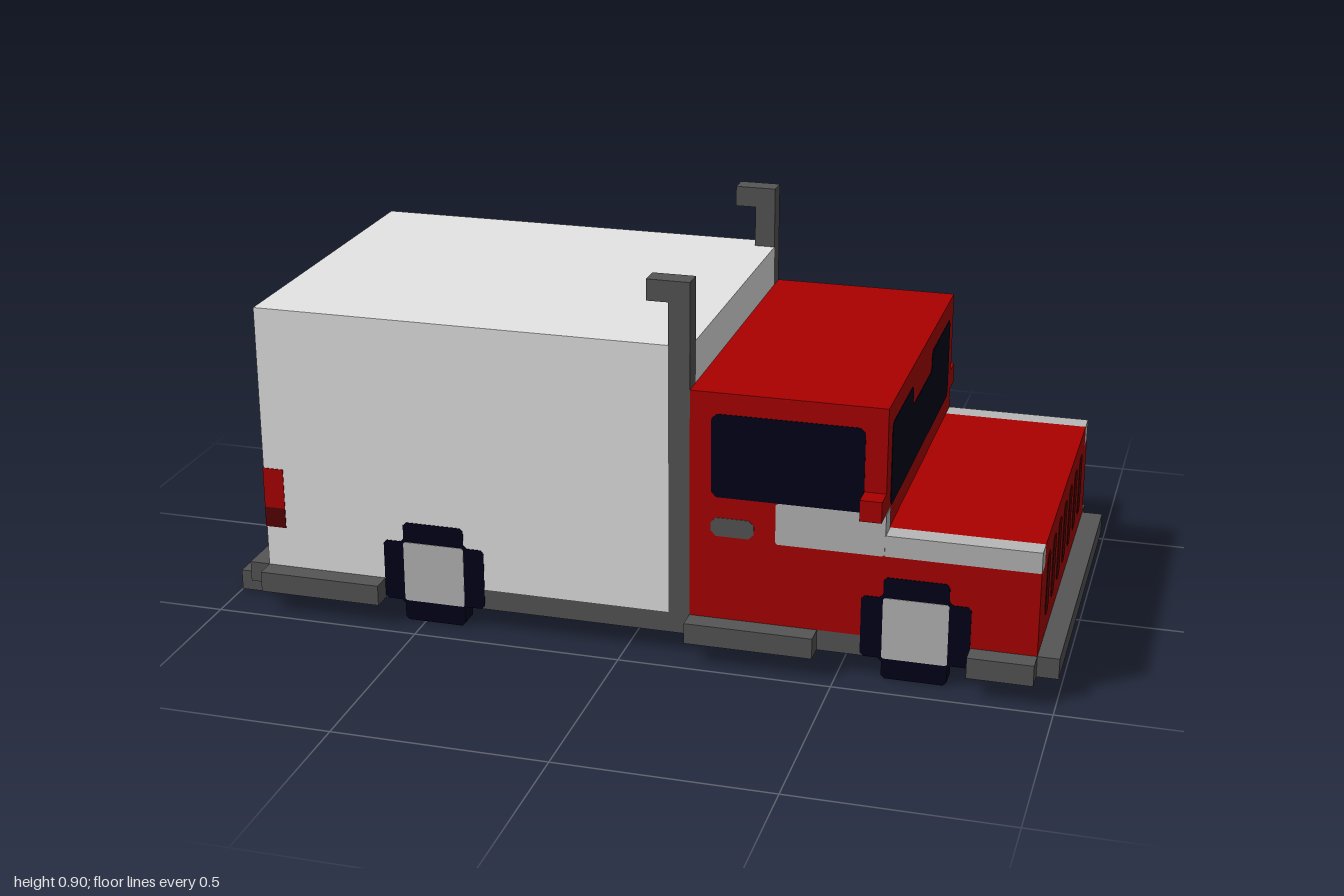
import * as THREE from 'three';

const mat = (name, color) => Object.assign(new THREE.MeshStandardMaterial({ color }), { name });
const RED = mat('red paint', 0xaa0000);
const DARK_RED = mat('dark red', 0x560000);
const CARGO = mat('light grey', 0xe5e5e5);
const SILVER = mat('silver', 0xb8b8b8);
const GREY = mat('dark grey', 0x555555);
const NAVY = mat('navy black', 0x00001a);

const W = 0.425; // half width of the body

export function createModel() {
  const model = new THREE.Group();
  model.name = 'truck';

  const add = (name, geometry, material) => {
    const mesh = new THREE.Mesh(geometry, material);
    mesh.name = name;
    model.add(mesh);
    return mesh;
  };

  // box given by its limits on each axis
  const box = (name, material, x0, x1, y0, y1, z0, z1) => {
    const g = new THREE.BoxGeometry(x1 - x0, y1 - y0, z1 - z0);
    g.translate((x0 + x1) / 2, (y0 + y1) / 2, (z0 + z1) / 2);
    return add(name, g, material);
  };
  const boxPair = (name, material, x0, x1, y0, y1, z0, z1) => {
    box(name + 'Left', material, x0, x1, y0, y1, z0, z1);
    box(name + 'Right', material, x0, x1, y0, y1, -z1, -z0);
  };

  // flat outline with small cut corners, extruded around its own plane
  const outline = (points, cut, depth) => {
    const out = [];
    points.forEach((p, i) => {
      const here = new THREE.Vector2(...p);
      for (const k of [points.length - 1, 1]) {
        const other = new THREE.Vector2(...points[(i + k) % points.length]);
        out.push(here.clone().add(other.sub(here).setLength(cut)));
      }
    });
    return new THREE.ExtrudeGeometry(new THREE.Shape(out), { depth, bevelEnabled: false })
      .translate(0, 0, -depth / 2);
  };
  const rect = (x0, x1, y0, y1) => [[x0, y0], [x1, y0], [x1, y1], [x0, y1]];

  // plates on both flanks, and on a face across x
  const sidePlates = (name, material, points, cut = 0.012, depth = 0.003, z = W) => {
    for (const s of [1, -1]) {
      add(name, outline(points, cut, depth), material).position.z = s * z;
    }
  };
  const endPlate = (name, material, x, points, cut = 0.012) =>
    add(name, outline(points, cut, 0.003).rotateY(Math.PI / 2), material).position.x = x;

  // chassis, running boards and tail pipe
  box('chassis', GREY, -0.95, 1, 0.05, 0.1, -W, W);
  boxPair('rearStep', GREY, -0.9, -0.6, 0.05, 0.1, W, 0.475);
  boxPair('cabStep', GREY, 0.15, 0.45, 0.05, 0.1, W, 0.475);
  box('frontStepLeft', GREY, 0.8, 0.95, 0.05, 0.1, W, 0.475);
  box('frontStepRight', GREY, 0.85, 0.95, 0.05, 0.1, -0.475, -W);
  box('tailPipe', GREY, -1, -0.8, 0, 0.05, 0.325, 0.375);

  // cargo box, notched at the front corners for the stacks
  box('cargoBox', CARGO, -0.9, 0.1, 0.1, 0.75, -W, W);
  box('cargoFront', CARGO, 0.1, 0.15, 0.1, 0.75, -0.375, 0.375);
  boxPair('exhaustStack', GREY, 0.1, 0.15, 0.1, 0.9, 0.375, W);
  boxPair('exhaustElbow', GREY, 0.05, 0.1, 0.85, 0.9, 0.375, W);

  // rear door seam and handle
  endPlate('doorSeam', GREY, -0.9, rect(-0.025, 0.025, 0.15, 0.7));
  endPlate('doorHandle', GREY, -0.9, rect(0.02, 0.075, 0.39, 0.45), 0.018);

  // tail lights wrapping the rear corners
  boxPair('tailLight', RED, -0.9015, -0.85, 0.25, 0.35, 0.375, W + 0.0015);
  boxPair('tailLightLower', DARK_RED, -0.9015, -0.85, 0.2, 0.25, 0.375, W + 0.0015);

  // cab and hood
  box('cab', RED, 0.15, 0.6, 0.1, 0.65, -W, W);
  box('hood', RED, 0.6, 0.95, 0.1, 0.3, -W, W);
  box('hoodTop', RED, 0.6, 0.95, 0.3, 0.35, -0.375, 0.375);
  boxPair('hoodTrim', SILVER, 0.6, 0.95, 0.3, 0.35, 0.375, W);
  boxPair('mirror', RED, 0.55, 0.6, 0.4, 0.45, W, 0.475);
  sidePlates('doorTrim', SILVER, rect(0.35, 0.6, 0.3, 0.4), 0.005);
  box('trimCorner', SILVER, 0.59, 0.6015, 0.35, 0.4, 0.375, W + 0.0015);

  // windows, door handles and grille
  sidePlates('sideWindow', NAVY, rect(0.2, 0.55, 0.4, 0.6));
  sidePlates('cabDoorHandle', GREY, rect(0.2, 0.3, 0.305, 0.35));
  endPlate('windscreen', NAVY, 0.6, [
    [-0.375, 0.4], [0.375, 0.4], [0.375, 0.6], [0.125, 0.6],
    [0.125, 0.55], [-0.125, 0.55], [-0.125, 0.6], [-0.375, 0.6]]);
  for (let i = -3; i <= 3; i++) {
    endPlate('grilleSlot', DARK_RED, 0.95, rect(i * 0.1 - 0.025, i * 0.1 + 0.025, 0.15, 0.3));
  }

  // cross-shaped wheels set flush in the body
  for (const x of [-0.475, 0.675]) {
    const a = 0.075, b = 0.125, y = 0.125;
    const cross = [
      [-a, -b], [a, -b], [a, -a], [b, -a], [b, a], [a, a],
      [a, b], [-a, b], [-a, a], [-b, a], [-b, -a], [-a, -a],
    ].map(([u, v]) => [x + u, y + v]);
    sidePlates('tyre', NAVY, cross, 0.008, 0.0515, 0.40075);
    sidePlates('hub', SILVER, rect(x - a, x + a, y - a, y + a), 0.004, 0.006);
  }

  return model;
}
